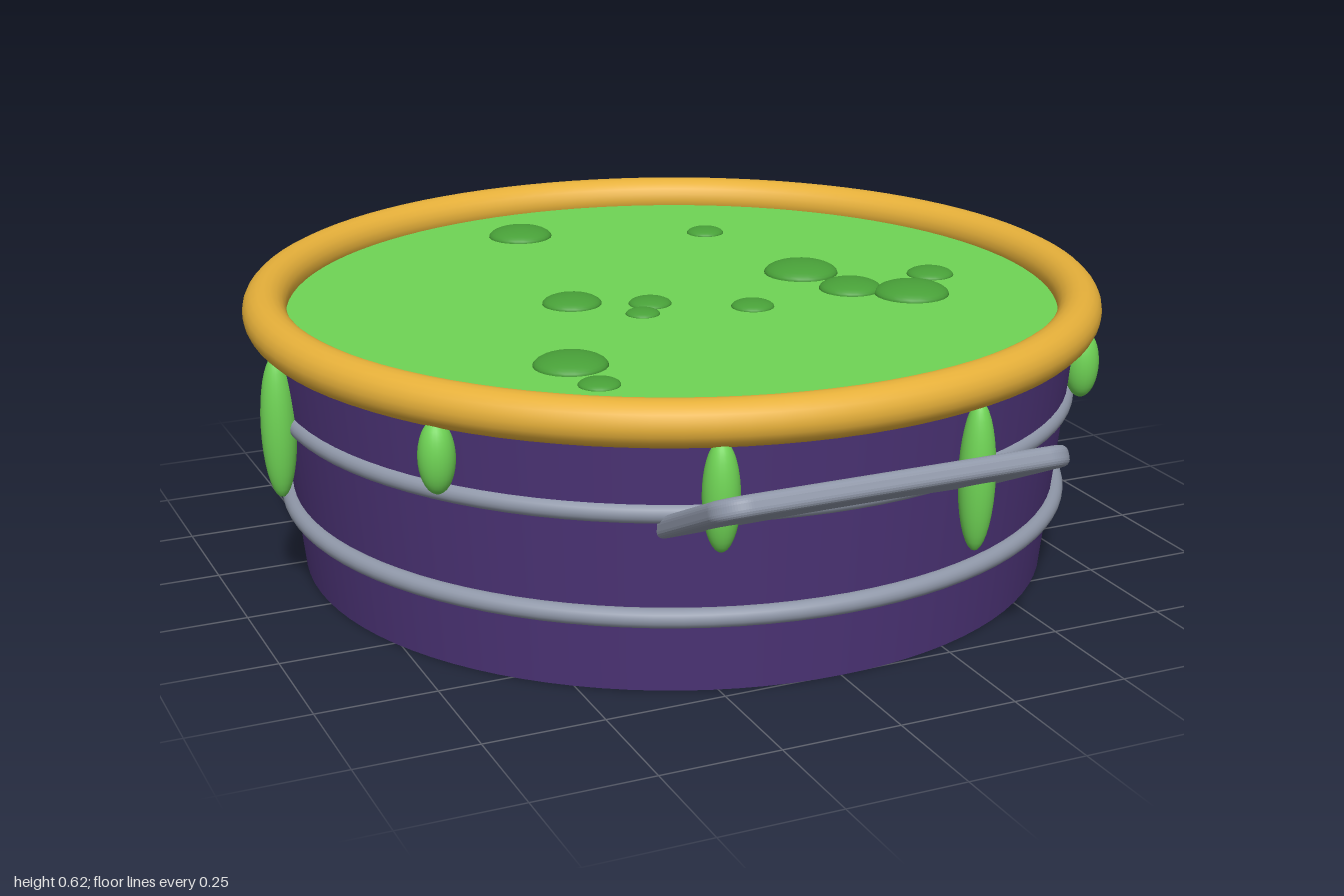
import * as THREE from 'three';

export function createModel() {
  const model = new THREE.Group();
  const tub = new THREE.Group();
  tub.name = 'tub';
  tub.position.z = -0.067;
  model.add(tub);

  const mat = (color) => new THREE.MeshStandardMaterial({ color });
  const purple = mat(0x4d3478);
  const gold = mat(0xe6b03a);
  const metal = mat(0x8f97a8);
  const slime = mat(0x6fd455);
  const darkSlime = mat(0x48a038);

  const add = (parent, name, geometry, material, x = 0, y = 0, z = 0) => {
    const mesh = new THREE.Mesh(geometry, material);
    mesh.name = name;
    mesh.position.set(x, y, z);
    parent.add(mesh);
    return mesh;
  };
  const ring = (name, radius, tube, y, material) => {
    const geometry = new THREE.TorusGeometry(radius, tube, 20, 96).rotateX(Math.PI / 2);
    return add(tub, name, geometry, material, 0, y, 0);
  };

  // Tapered vessel filled with liquid to just below the rim
  add(tub, 'vesselBody', new THREE.CylinderGeometry(0.882, 0.823, 0.55, 96), purple, 0, 0.275, 0);
  add(tub, 'liquid', new THREE.CylinderGeometry(0.865, 0.865, 0.03, 96), slime, 0, 0.545, 0);

  // Rim and metal hoops
  ring('rim', 0.884, 0.047, 0.573, gold);
  ring('upperHoop', 0.86, 0.02, 0.385, metal);
  ring('lowerHoop', 0.848, 0.02, 0.165, metal);

  // Drips hanging below the rim, in three repeating lengths
  const dripHalfLengths = [0.112, 0.075, 0.156];
  for (let i = 1; i <= 10; i++) {
    const angle = (i * Math.PI) / 5;
    const half = dripHalfLengths[i % 3];
    const drip = add(tub, 'drip', new THREE.SphereGeometry(1, 24, 18), slime,
      Math.cos(angle) * 0.894, 0.542 - half, Math.sin(angle) * 0.894);
    drip.scale.set(0.037, half, 0.037);
  }

  // Flattened bubbles on the liquid: x, z, radius
  const bubbles = [
    [-0.12, -0.70, 0.075], [0.30, -0.55, 0.044], [-0.22, -0.11, 0.065],
    [-0.065, -0.04, 0.047], [-0.11, 0.025, 0.037], [0.35, -0.135, 0.084],
    [0.39, 0.03, 0.07], [0.495, 0.12, 0.083], [0.61, 0, 0.053],
    [0.13, 0.07, 0.047], [-0.385, 0.30, 0.077], [-0.38, 0.44, 0.043],
  ];
  for (const [x, z, r] of bubbles) {
    const bubble = add(model, 'bubble', new THREE.SphereGeometry(r, 24, 16), darkSlime, x, 0.56, z);
    bubble.scale.y = 0.32;
  }

  // Tilted front handle plate with rounded outer corners
  const bevel = 0.015, w = 0.375 - bevel, len = 0.315 - bevel, r = 0.05;
  const plate = new THREE.Shape();
  plate.moveTo(-w, 0);
  plate.lineTo(w, 0);
  plate.lineTo(w, len - r);
  plate.absarc(w - r, len - r, r, 0, Math.PI / 2);
  plate.lineTo(-w + r, len);
  plate.absarc(-w + r, len - r, r, Math.PI / 2, Math.PI);
  plate.closePath();
  const plateGeometry = new THREE.ExtrudeGeometry(plate, {
    depth: 0.012, bevelThickness: bevel, bevelSize: bevel, bevelSegments: 5, curveSegments: 10,
  }).translate(0, 0, -0.006);
  const handle = add(model, 'handle', plateGeometry, metal, 0, 0.355, 0.71);
  handle.rotation.x = Math.PI / 2 - 0.45;

  return model;
}
